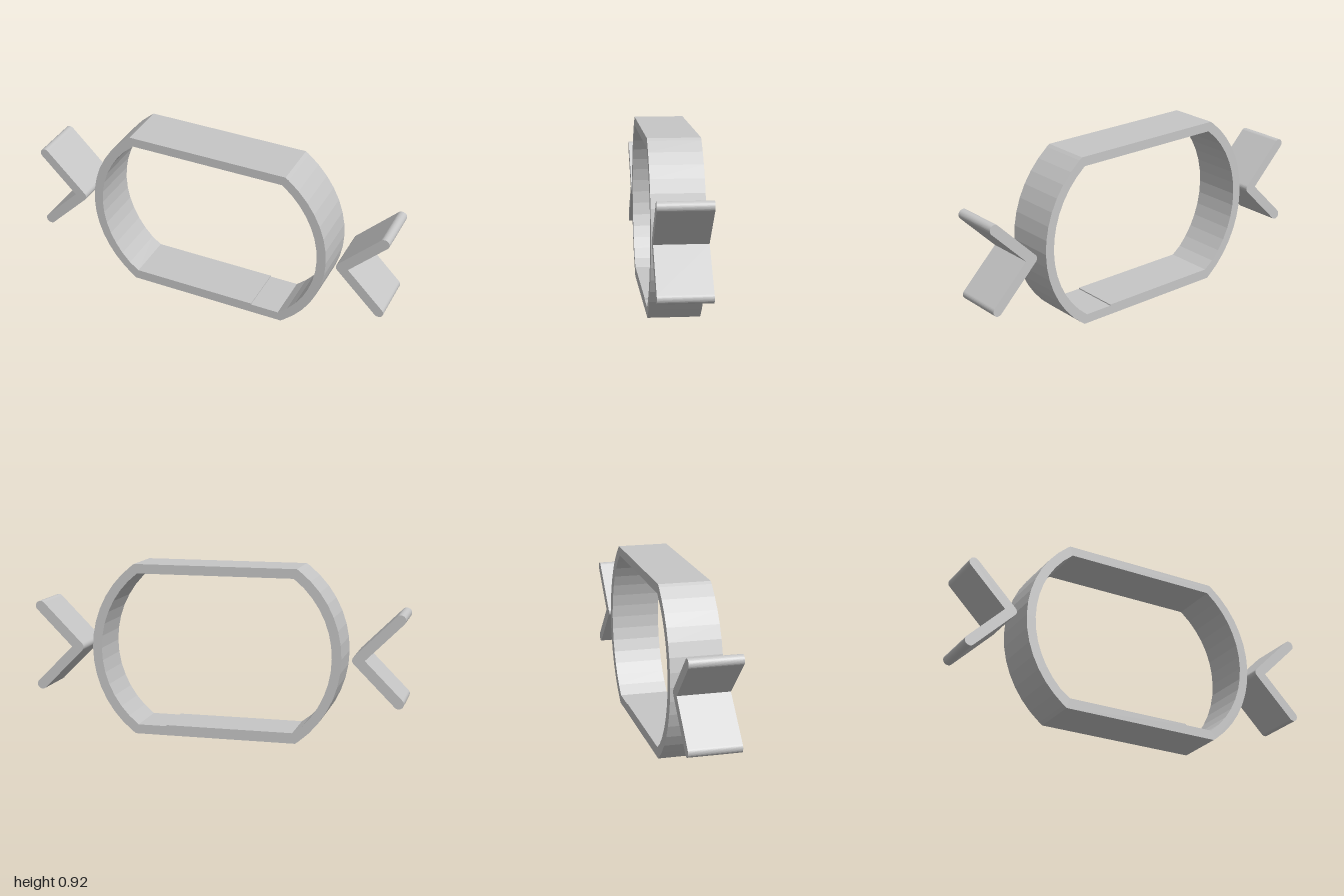
import * as THREE from 'three';

const DEPTH = 0.27, MID = 0.46;
const rad = THREE.MathUtils.degToRad;

// Points of an arc, with one facet every 7.5 degrees
function arc(cx, cy, r, from, to) {
  const n = Math.max(1, Math.ceil(Math.abs(to - from) / 7.5 - 1e-6));
  return Array.from({ length: n + 1 }, (_, i) => {
    const a = rad(from + ((to - from) * i) / n);
    return new THREE.Vector2(cx + r * Math.cos(a), cy + r * Math.sin(a));
  });
}

// Two bowed sides joined by straight top and bottom edges
function loop(r, halfHeight) {
  const end = THREE.MathUtils.radToDeg(Math.asin(halfHeight / r));
  const angles = [-end];
  for (let a = -52.5; a <= 52.5; a += 7.5) if (Math.abs(a) < end - 0.5) angles.push(a);
  angles.push(end);
  const right = angles.map(a =>
    new THREE.Vector2(0.11 + r * Math.cos(rad(a)), MID + r * Math.sin(rad(a))));
  const left = right.map(p => new THREE.Vector2(-p.x, p.y)).reverse();
  return [...right, ...left];
}

function extrude(shape) {
  return new THREE.ExtrudeGeometry(shape, { depth: DEPTH, bevelEnabled: false })
    .translate(0, 0, -DEPTH / 2);
}

export function createModel() {
  const group = new THREE.Group();
  const grey = new THREE.MeshStandardMaterial({ color: 0xc6c6c6 });
  grey.name = 'light grey';
  const add = (name, geometry) => {
    const mesh = new THREE.Mesh(geometry, grey);
    mesh.name = name;
    group.add(mesh);
    return mesh;
  };

  // Ring band, with a shallow step on the inside of the floor
  const ring = new THREE.Shape(loop(0.565, MID));
  const inner = loop(0.515, 0.41);
  inner[inner.length - 1].y = 0.056;
  inner.push(new THREE.Vector2(0.265, 0.056), new THREE.Vector2(0.265, 0.05));
  ring.holes.push(new THREE.Path(inner));
  add('ringBand', extrude(ring));

  // V-shaped brackets with rounded tips, pointing at the ring
  const r = 0.027, tip = 0.757, far = 0.973, rise = far - tip;
  const bracket = new THREE.Shape([
    ...arc(tip, MID, r, 135, 225),
    ...arc(far, MID - rise, r, 225, 405),
    new THREE.Vector2(tip + r * Math.SQRT2, MID),
    ...arc(far, MID + rise, r, -45, 135),
  ]);
  const geometry = extrude(bracket);
  add('leftBracket', geometry);
  add('rightBracket', geometry).rotation.y = Math.PI;

  return group;
}
